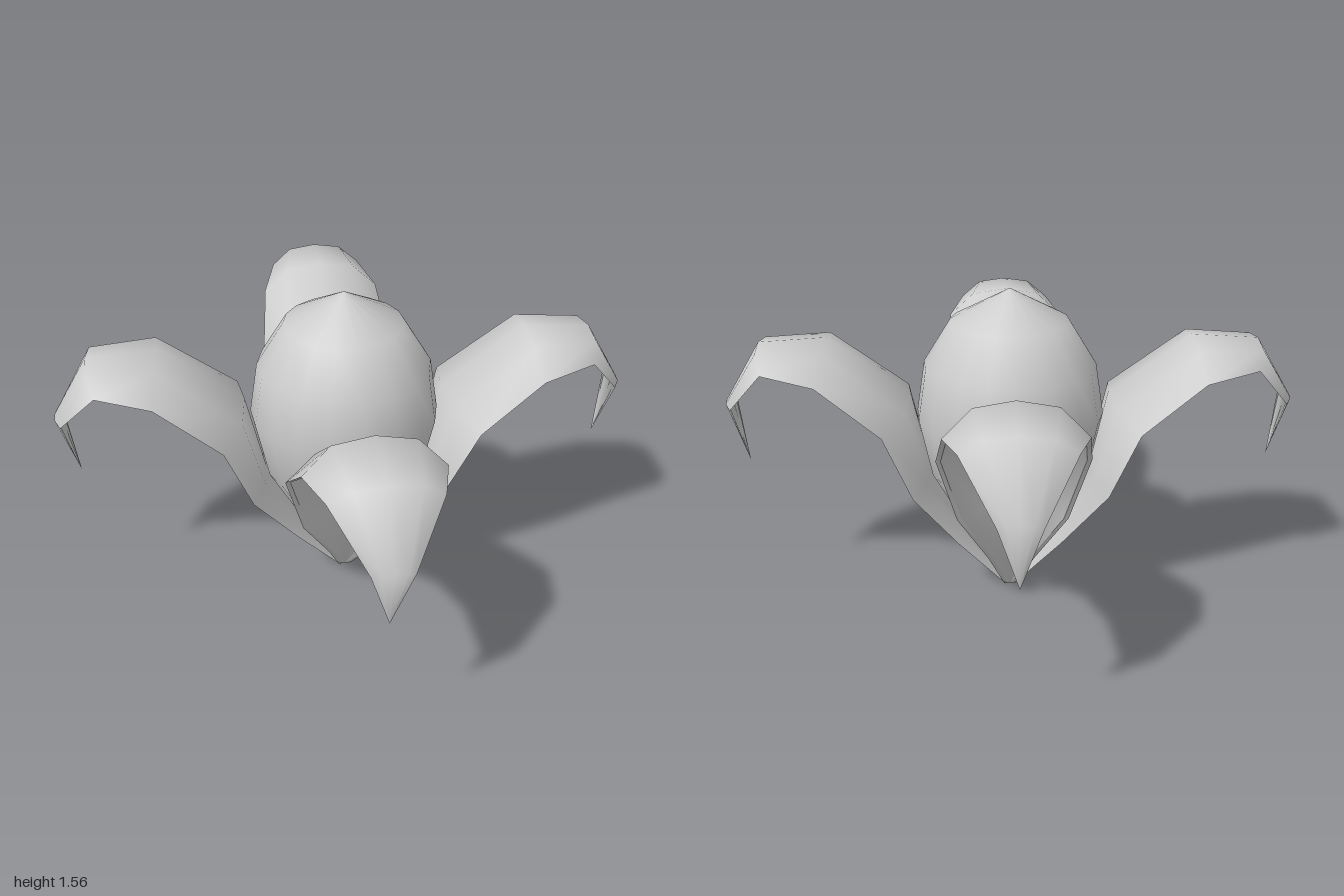
import * as THREE from 'three';
import { mergeGeometries } from 'three/addons/utils/BufferGeometryUtils.js';

const material = new THREE.MeshStandardMaterial({ color: 0xcccccc });
const THICKNESS = 0.022;

// Petal stations: edge reach, edge height, half width, then the rise of the
// midline above the edges (outward, upward)
const stations = [
  [0.02, 0.0, 0.03, 0, 0.025],
  [0.255, 0.28, 0.113, -0.04, 0.03],
  [0.467, 0.6, 0.255, -0.08, 0.05],
  [0.594, 0.95, 0.34, -0.12, 0.09],
  [0.89, 1.18, 0.3, -0.03, 0.15],
  [1.14, 1.22, 0.233, 0.04, 0.09],
  [1.325, 1.0, 0.088, 0.03, 0.025],
  [1.27, 0.71, 0, 0, 0],
];
const arch = [-90, -36, 0, 36, 90].map(THREE.MathUtils.degToRad);

// Arched cross-section of a petal, shrunk by an inset
function section([reach, height, width, out, up], inset) {
  const rise = Math.hypot(out, up);
  const k = rise > 0 ? Math.max(0.1, 1 - inset / rise) : 0;
  const w = Math.max(width * 0.3, width - inset);
  return arch.map((a) => new THREE.Vector3(
    w * Math.sin(a),
    height + up * k * Math.cos(a),
    reach + out * k * Math.cos(a)));
}

// Smooth surface through rows of points
function skin(rows) {
  const n = rows[0].length;
  const index = [];
  for (let i = 0; i < rows.length - 1; i++) {
    for (let j = 0; j < n - 1; j++) {
      const a = i * n + j, b = a + n;
      index.push(a, b, b + 1, a, b + 1, a + 1);
    }
  }
  const geometry = new THREE.BufferGeometry().setFromPoints(rows.flat());
  geometry.setIndex(index);
  geometry.computeVertexNormals();
  return geometry;
}

function petalGeometry() {
  const top = stations.map((s) => section(s, 0));
  const under = stations.map((s) => section(s, THICKNESS));
  const last = arch.length - 1;
  return mergeGeometries([
    skin(top),
    skin(under.map((row) => [...row].reverse())),
    skin(top.map((row, i) => [row[last], under[i][last]])), // rims
    skin(top.map((row, i) => [under[i][0], row[0]])),
    skin([under[0], top[0]]), // base end
  ]);
}

export function createModel() {
  const model = new THREE.Group();
  model.name = 'flower';

  // Egg-shaped closed bud
  const profile = [
    [0, 0.03], [0.1, 0.16], [0.25, 0.4], [0.39, 0.66],
    [0.45, 0.95], [0.41, 1.2], [0.28, 1.41], [0, 1.56],
  ].map(([r, y]) => new THREE.Vector2(r, y));
  const bud = new THREE.Mesh(new THREE.LatheGeometry(profile, 18), material);
  bud.name = 'bud';
  model.add(bud);

  // Four drooping petals on the diagonals
  const geometry = petalGeometry();
  for (let i = 0; i < 4; i++) {
    const petal = new THREE.Mesh(geometry, material);
    petal.name = `petal${i + 1}`;
    petal.rotation.y = Math.PI / 4 + (i * Math.PI) / 2;
    model.add(petal);
  }
  return model;
}
